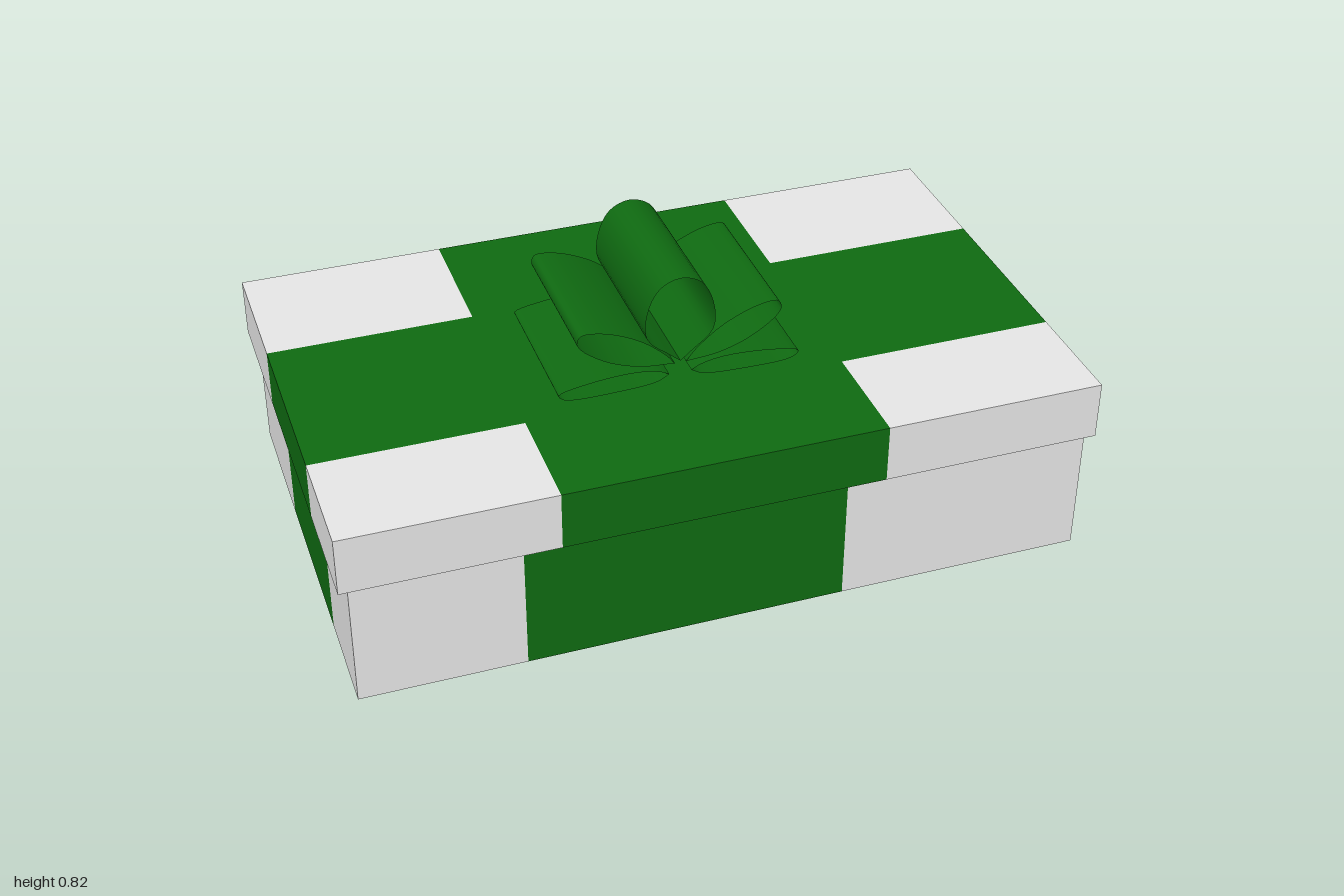
import * as THREE from 'three';

const paper = new THREE.MeshStandardMaterial({ color: 0xe6e6e6 });
paper.name = 'paleWrappingPaper';
const ribbon = new THREE.MeshStandardMaterial({ color: 0x0f6a11, side: THREE.DoubleSide });
ribbon.name = 'greenRibbon';

// Box whose faces are cut into a 3 x 3 pattern; the middle bands are ribbon
function wrappedBox(name, w, h, d, y, [x0, x1], [z0, z1]) {
  const geo = new THREE.BoxGeometry(w, h, d, 3, 1, 3);
  const pos = geo.attributes.position;
  const cut = (v, size, a, b) => (Math.abs(v) > size * 0.4 ? v : v < 0 ? a : b);
  for (let i = 0; i < pos.count; i++) {
    pos.setX(i, cut(pos.getX(i), w, x0, x1));
    pos.setZ(i, cut(pos.getZ(i), d, z0, z1));
  }
  geo.clearGroups();
  const index = geo.index;
  for (let q = 0; q < index.count; q += 6) {
    let x = 0, z = 0;
    for (let k = 0; k < 6; k++) {
      x += pos.getX(index.getX(q + k)) / 6;
      z += pos.getZ(index.getX(q + k)) / 6;
    }
    const banded = (x > x0 && x < x1) || (z > z0 && z < z1);
    geo.addGroup(q, 6, banded ? 1 : 0);
  }
  const mesh = new THREE.Mesh(geo, [paper, ribbon]);
  mesh.name = name;
  mesh.position.y = y + h / 2;
  return mesh;
}

// Ribbon loop: a flat strip bent along a curve in the x-y plane
const BOW_X = -0.018, BOW_Z = 0.032, BOW_WIDTH = 0.414;
function ribbonLoop(name, points, side = 1) {
  const curve = new THREE.CatmullRomCurve3(
    points.map(([x, y]) => new THREE.Vector3(BOW_X + x * side, y, 0)), false, 'centripetal');
  const geo = new THREE.PlaneGeometry(1, BOW_WIDTH, 40, 1);
  const pos = geo.attributes.position;
  for (let i = 0; i < pos.count; i++) {
    const p = curve.getPoint(THREE.MathUtils.clamp(pos.getX(i) + 0.5, 0, 1));
    pos.setXYZ(i, p.x, p.y, BOW_Z + side * pos.getY(i));
  }
  geo.computeVertexNormals();
  const mesh = new THREE.Mesh(geo, ribbon);
  mesh.name = name;
  return mesh;
}

export function createModel() {
  const model = new THREE.Group();
  model.name = 'giftBox';

  model.add(wrappedBox('boxBody', 1.95, 0.35, 1.175, 0, [-0.54, 0.31], [-0.21, 0.3]));
  model.add(wrappedBox('boxLid', 2, 0.16, 1.2, 0.35, [-0.445, 0.41], [-0.23, 0.287]));

  // Bow: one upright loop and two mirrored pairs of side loops
  const bow = new THREE.Group();
  bow.name = 'bow';
  bow.add(ribbonLoop('topLoop', [
    [0, 0.575], [-0.03, 0.6], [-0.088, 0.655], [-0.088, 0.735], [-0.055, 0.8], [0, 0.822],
    [0.055, 0.8], [0.088, 0.735], [0.088, 0.655], [0.03, 0.6], [0, 0.575],
  ]));
  for (const side of [1, -1]) {
    const label = side > 0 ? 'left' : 'right';
    bow.add(ribbonLoop(label + 'UpperLoop', [
      [0.015, 0.57], [0.045, 0.605], [0.115, 0.66], [0.21, 0.7], [0.265, 0.702],
      [0.272, 0.675], [0.205, 0.617], [0.11, 0.58], [0.015, 0.57],
    ], side));
    bow.add(ribbonLoop(label + 'LowerLoop', [
      [0.03, 0.54], [0.055, 0.552], [0.115, 0.563], [0.24, 0.557], [0.325, 0.537],
      [0.31, 0.521], [0.16, 0.515], [0.06, 0.524], [0.03, 0.54],
    ], side));
  }
  model.add(bow);
  return model;
}
